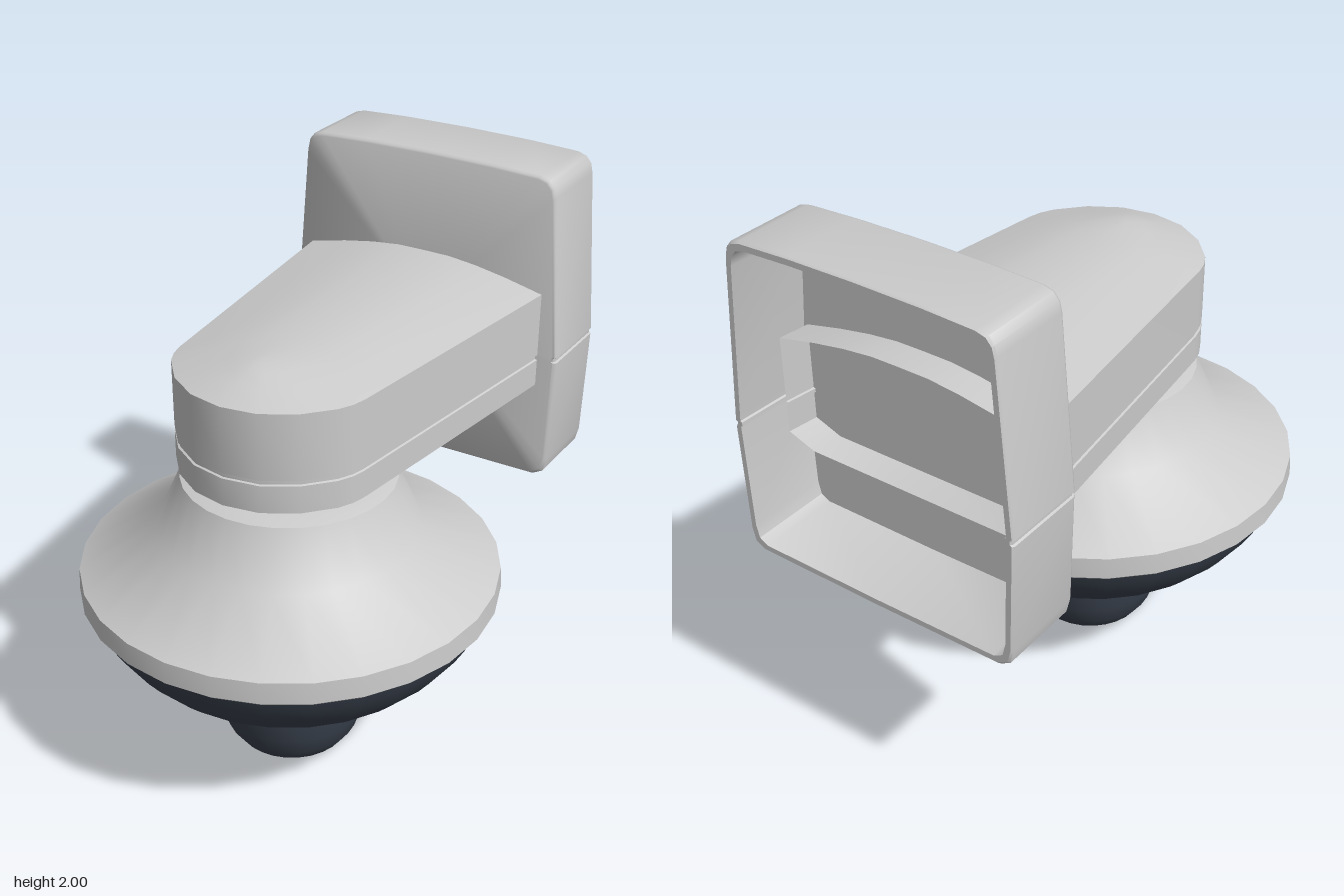
import * as THREE from 'three';
import { toCreasedNormals } from 'three/addons/utils/BufferGeometryUtils.js';

const grey = new THREE.MeshStandardMaterial({ color: 0xcccccc, side: THREE.DoubleSide });
const dark = new THREE.MeshStandardMaterial({ color: 0x3a424e, side: THREE.DoubleSide });
const black = new THREE.MeshStandardMaterial({ color: 0x111111, side: THREE.DoubleSide });

const AXIS_Z = 0.245;

function part(name, geometry, material, crease) {
  const mesh = new THREE.Mesh(toCreasedNormals(geometry, crease), material);
  mesh.name = name;
  return mesh;
}

// Skin between successive rings of [x, y, z] points
function loft(rings) {
  const n = rings[0].length;
  const index = [];
  for (let i = 0; i < rings.length - 1; i++) {
    for (let j = 0; j < n - 1; j++) {
      const a = i * n + j, b = a + n;
      index.push(a, a + 1, b, a + 1, b + 1, b);
    }
  }
  const g = new THREE.BufferGeometry();
  g.setAttribute('position', new THREE.Float32BufferAttribute(rings.flat(2), 3));
  g.setIndex(index);
  return g;
}

// Turned part around the dome axis, profile listed from bottom to top
function turned(name, profile, material) {
  const points = profile.map(([r, y]) => new THREE.Vector2(r, y));
  const mesh = part(name, new THREE.LatheGeometry(points, 28), material, 0.75);
  mesh.position.z = AXIS_Z;
  return mesh;
}

// Tapered arm with a rounded nose, crowned top and a seam; open at the back
function arm() {
  const back = -0.8;
  const half = [[0.495, back], [0.478, -0.66], [0.357, 0.35], [0.345, 0.4], [0.32, 0.45],
    [0.235, 0.545], [0.125, 0.61]];
  const outline = [...half.map(([x, z]) => [-x, z]), [0, 0.632], ...half.slice().reverse()];
  // Each level: height, width factor, nose setback
  const levels = [
    [1.167, 0, 0.09], [1.167, 0.79, 0.09], [1.205, 1, 0],
    [1.304, 1, 0], [1.307, 0.985, 0.007], [1.32, 0.985, 0.007], [1.323, 1, 0],
    [1.56, 1, 0], [1.592, 0.7, 0.09], [1.613, 0.45, 0.15], [1.625, 0.22, 0.2], [1.626, 0, 0.25],
  ];
  const rings = levels.map(([y, s, setback]) => outline.map(([x, z]) =>
    [x * s, y, back + (z - back) * (1 - setback / (0.632 - back))]));
  return part('arm', loft(rings), grey, 0.95);
}

// Hollow wall box, open at the back, with a seam notch on each side
function wallPlate() {
  const half = [[0.25, 1.997], [0.44, 1.989], [0.475, 1.979], [0.495, 1.955], [0.503, 1.92],
    [0.55, 1.326], [0.543, 1.322], [0.543, 1.308], [0.55, 1.304],
    [0.538, 0.9], [0.526, 0.85], [0.49, 0.83]];
  const outline = [[0, 2], ...half, [0, 0.826],
    ...half.slice().reverse().map(([x, y]) => [-x, y]), [0, 2]];
  const midY = 1.41;
  // Each level: depth position, scale about the middle
  const levels = [[-0.66, 0], [-0.66, 0.98], [-0.664, 0.991], [-0.675, 1],
    [-0.97, 1], [-0.978, 0.99], [-0.978, 0.955], [-0.685, 0.935], [-0.685, 0]];
  const rings = levels.map(([z, s]) =>
    outline.map(([x, y]) => [x * s, midY + (y - midY) * s, z]));
  return part('wallPlate', loft(rings), grey, 0.75);
}

export function createModel() {
  const model = new THREE.Group();
  model.name = 'wallMountedDome';
  model.add(
    wallPlate(),
    arm(),
    turned('housing', [[0.68, 0.706], [0.72, 0.708], [0.735, 0.722], [0.731, 0.8], [0.46, 0.945],
      [0.372, 1.145], [0.3, 1.165], [0, 1.168]], grey),
    turned('darkBand', [[0.56, 0.487], [0.612, 0.54], [0.655, 0.595], [0.69, 0.655],
      [0.708, 0.7], [0.68, 0.706]], dark),
    turned('lowerBowl', [[0.28, 0.327], [0.295, 0.327], [0.39, 0.37], [0.48, 0.425],
      [0.56, 0.487]], grey),
    turned('lensRing', [[0, 0.316], [0.298, 0.316], [0.3, 0.33], [0, 0.33]], black),
    turned('lensBulb', [[0, 0.004], [0.09, 0.008], [0.155, 0.025], [0.205, 0.06], [0.24, 0.11],
      [0.262, 0.18], [0.275, 0.25], [0.284, 0.318]], dark),
  );
  return model;
}
